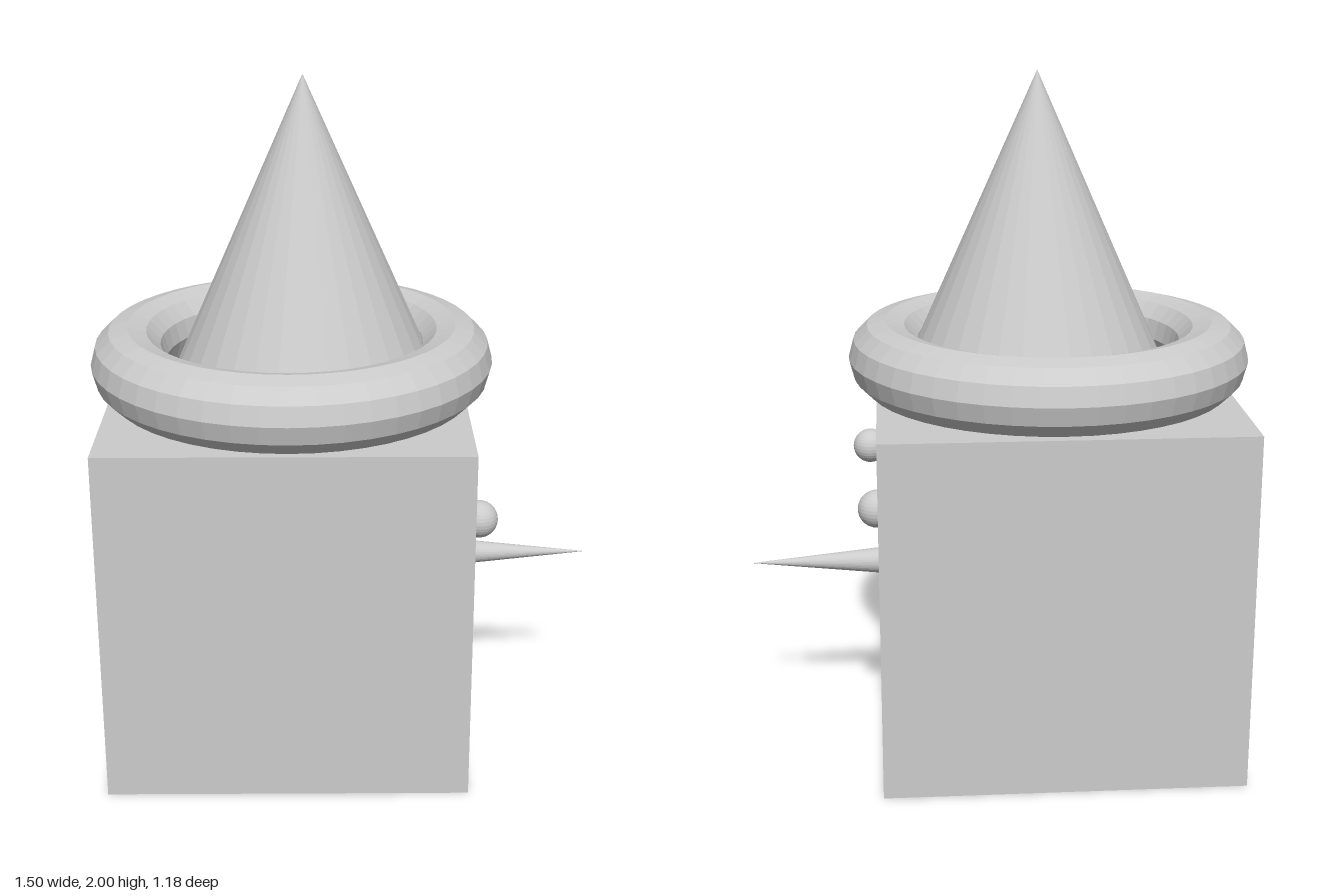
import * as THREE from 'three';

export function createModel() {
  const group = new THREE.Group();
  const material = new THREE.MeshStandardMaterial({ color: 0xcccccc, flatShading: true });

  const add = (name, geometry, x, y, z) => {
    const mesh = new THREE.Mesh(geometry, material);
    mesh.name = name;
    mesh.position.set(x, y, z);
    group.add(mesh);
    return mesh;
  };

  // Cube head
  add('head', new THREE.BoxGeometry(1.05, 1.06, 1.05), -0.175, 0.53, -0.002);

  // Hat: ring brim lying on the head, with a cone rising through it
  const brim = new THREE.TorusGeometry(0.482, 0.11, 12, 48).rotateX(Math.PI / 2);
  add('hatBrim', brim, -0.162, 1.17, -0.002);
  const hatHeight = 0.94;
  add('hatCone', new THREE.ConeGeometry(0.421, hatHeight, 32), -0.124, 2 - hatHeight / 2, -0.005);

  // Eyes, half sunk into the +x face and slightly uneven
  const eye = new THREE.SphereGeometry(0.054, 32, 16);
  add('leftEye', eye, 0.354, 0.8, -0.308);
  add('rightEye', eye, 0.376, 0.788, 0.326);

  // Long pointed nose along +x
  const noseLength = 0.41;
  const nose = new THREE.ConeGeometry(0.041, noseLength, 32).rotateZ(-Math.PI / 2);
  add('nose', nose, 0.742 - noseLength / 2, 0.524, -0.008);

  return group;
}
